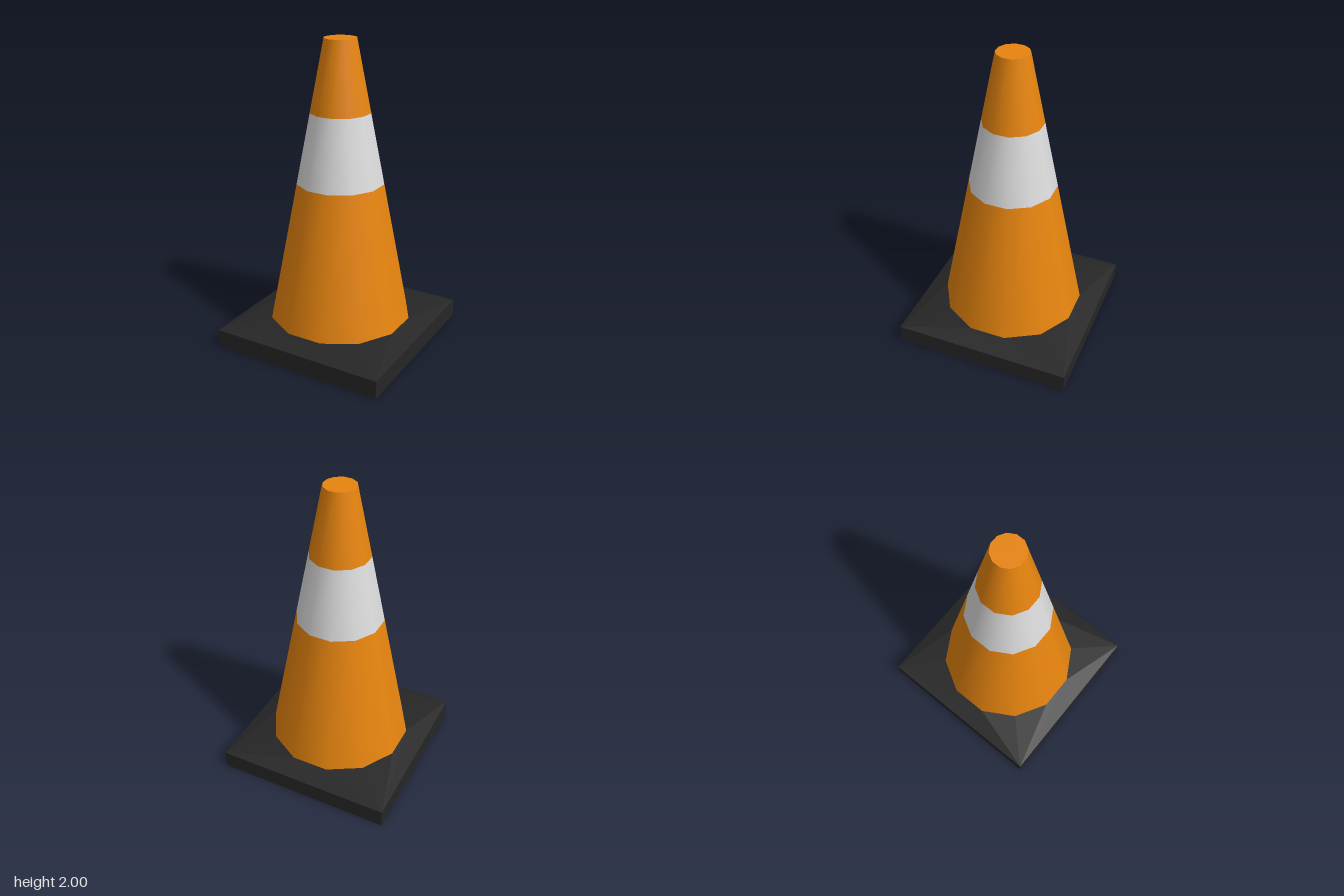
import * as THREE from 'three';

const SIDES = 12;
const TURN = Math.PI / SIDES; // flat sides face the axes
const FOOT_Y = 0.165, TOP_Y = 2;
const coneRadius = (y) => THREE.MathUtils.mapLinear(y, FOOT_Y, TOP_Y, 0.471, 0.105);

// Square slab whose top slopes up to meet the twelve-sided cone
function baseGeometry(half, slabHeight) {
  const points = [];
  const tri = (a, b, c) => points.push(...a, ...b, ...c);
  const corner = (q, y) => {
    const a = Math.PI / 4 + (q * Math.PI) / 2;
    return [Math.SQRT2 * half * Math.sin(a), y, Math.SQRT2 * half * Math.cos(a)];
  };
  const ring = (i) => {
    const a = TURN + i * 2 * TURN, r = coneRadius(FOOT_Y);
    return [r * Math.sin(a), FOOT_Y, r * Math.cos(a)];
  };
  for (let q = 0; q < 4; q++) {
    const a = corner(q, 0), b = corner(q + 1, 0);
    const c = corner(q, slabHeight), d = corner(q + 1, slabHeight);
    // side wall and its share of the underside
    tri(a, b, d);
    tri(a, d, c);
    tri(b, a, [0, 0, 0]);
    // sloped top: a fan at the corner, then the strip to the next corner
    const i = q * 3;
    tri(c, ring(i + 1), ring(i));
    tri(c, ring(i + 2), ring(i + 1));
    tri(c, d, ring(i + 3));
    tri(c, ring(i + 3), ring(i + 2));
  }
  const geometry = new THREE.BufferGeometry();
  geometry.setAttribute('position', new THREE.Float32BufferAttribute(points, 3));
  geometry.computeVertexNormals();
  return geometry;
}

export function createModel() {
  const group = new THREE.Group();
  group.name = 'trafficCone';

  const material = (name, color) => {
    const m = new THREE.MeshStandardMaterial({ color });
    m.name = name;
    return m;
  };
  const orange = material('orange', 0xe8850f);
  const white = material('white', 0xdcdcdc);
  const black = material('black', 0x262626);

  const add = (name, geometry, mat) => {
    const mesh = new THREE.Mesh(geometry, mat);
    mesh.name = name;
    group.add(mesh);
    return mesh;
  };

  add('base', baseGeometry(0.587, 0.12), black);

  // Cone body in three stacked bands
  const bands = [
    ['lowerCone', FOOT_Y, 1.09, orange],
    ['reflectiveBand', 1.09, 1.545, white],
    ['upperCone', 1.545, TOP_Y, orange],
  ];
  for (const [name, y0, y1, mat] of bands) {
    const geometry = new THREE.CylinderGeometry(
      coneRadius(y1), coneRadius(y0), y1 - y0, SIDES, 1, true, TURN);
    add(name, geometry, mat).position.y = (y0 + y1) / 2;
  }

  // Flat cap closing the tip
  const cap = new THREE.CircleGeometry(coneRadius(TOP_Y), SIDES, TURN).rotateX(-Math.PI / 2);
  add('topCap', cap, orange).position.y = TOP_Y;

  return group;
}
